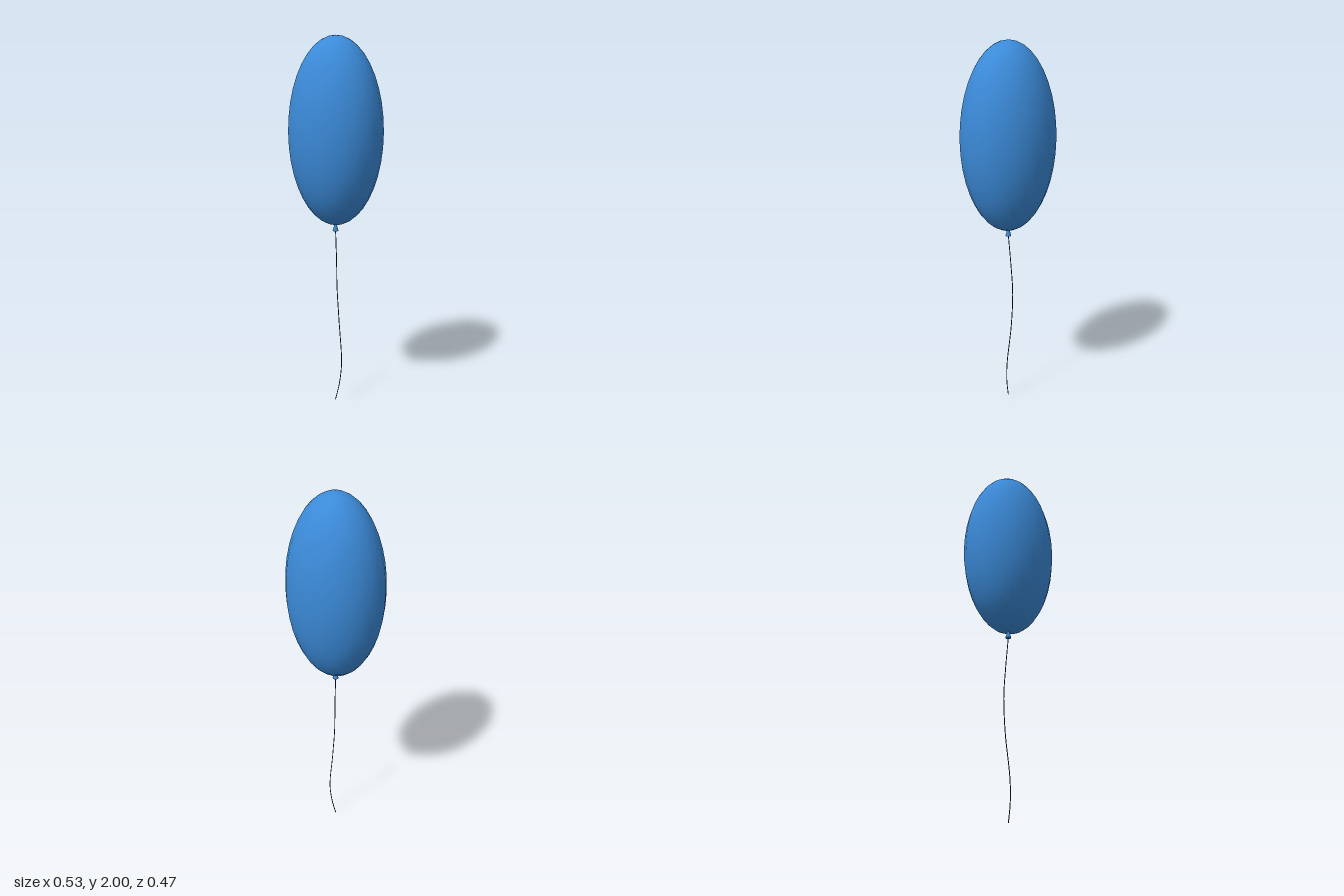
import * as THREE from 'three';

export function createModel() {
  const group = new THREE.Group();
  const balloonBlue = new THREE.MeshStandardMaterial({ color: 0x3b8ad8 });
  balloonBlue.name = 'balloon blue';
  const stringGrey = new THREE.MeshStandardMaterial({ color: 0x333333 });
  stringGrey.name = 'string dark grey';

  const add = (name, geometry, material) => {
    const mesh = new THREE.Mesh(geometry, material);
    mesh.name = name;
    group.add(mesh);
    return mesh;
  };

  // Inflated body: a tall ellipsoid, slightly flatter front to back
  const body = new THREE.SphereGeometry(1, 24, 20);
  body.scale(0.263, 0.495, 0.234);
  add('balloonBody', body, balloonBlue).position.y = 1.505;

  // Tied neck flaring downward
  const knot = new THREE.CylinderGeometry(0.006, 0.016, 0.036, 12);
  add('knot', knot, balloonBlue).position.y = 0.994;

  // Hanging string with a gentle S bend, bowed toward the back
  const path = new THREE.CatmullRomCurve3([
    [0, 0.98, 0],
    [-0.006, 0.8, -0.016],
    [-0.01, 0.65, -0.025],
    [0.002, 0.46, -0.028],
    [0.027, 0.22, -0.02],
    [0.02, 0.1, -0.01],
    [0, 0, 0],
  ].map((p) => new THREE.Vector3(...p)));
  add('string', new THREE.TubeGeometry(path, 40, 0.0025, 6), stringGrey);

  return group;
}
